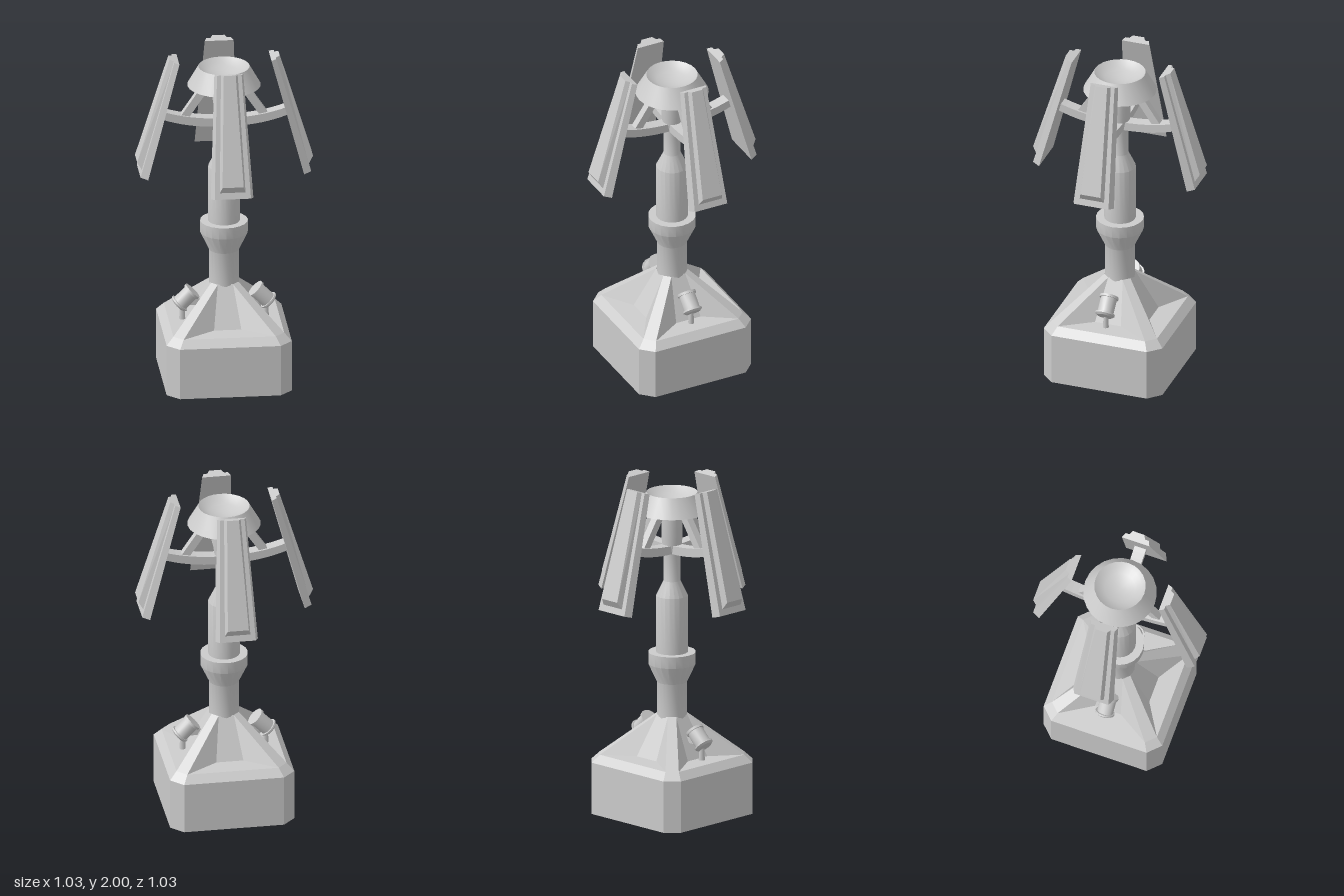
import * as THREE from 'three';
import { toCreasedNormals } from 'three/addons/utils/BufferGeometryUtils.js';

const lerp = THREE.MathUtils.lerp;
const smooth = new THREE.MeshStandardMaterial({ color: 0xcccccc, side: THREE.DoubleSide });
const flat = new THREE.MeshStandardMaterial({ color: 0xcccccc, side: THREE.DoubleSide, flatShading: true });

function part(name, geometry, material = flat) {
  const mesh = new THREE.Mesh(geometry, material);
  mesh.name = name;
  return mesh;
}

// Turned part from [radius, height] pairs
function turned(name, profile, sides = 20) {
  const geo = new THREE.LatheGeometry(profile.map(([r, y]) => new THREE.Vector2(r, y)), sides);
  return part(name, toCreasedNormals(geo, 0.45), smooth);
}

// Mesh from convex polygons
function faceted(name, polygons) {
  const pos = [];
  for (const p of polygons)
    for (let i = 1; i < p.length - 1; i++) pos.push(...p[0], ...p[i], ...p[i + 1]);
  const geo = new THREE.BufferGeometry();
  geo.setAttribute('position', new THREE.Float32BufferAttribute(pos, 3));
  geo.computeVertexNormals();
  return part(name, geo);
}

// Box whose corners are placed by rule(side -1|1, down 0|1, out 0|1)
function shapedBox(name, rule) {
  const geo = new THREE.BoxGeometry(1, 1, 1);
  const p = geo.attributes.position;
  for (let i = 0; i < p.count; i++)
    p.setXYZ(i, ...rule(Math.sign(p.getX(i)), 0.5 - p.getY(i), p.getZ(i) + 0.5));
  geo.computeVertexNormals();
  return part(name, geo);
}

// Flat bar cut from a (radius, height) outline, standing in the z-y plane
function bar(name, shape, width) {
  const geo = new THREE.ExtrudeGeometry(shape, { depth: width, bevelEnabled: false, curveSegments: 8 });
  geo.translate(0, 0, -width / 2).rotateY(-Math.PI / 2);
  return part(name, geo);
}

// One quarter of the hollow base: wall, chamfered corner, ridge and recessed roof panel
function baseSide() {
  const m = ([x, y, z]) => [-x, y, z];
  const w0 = [0.295, 0, 0.367], w1 = [0.295, 0.31, 0.367];
  const c0 = [0.367, 0, 0.295], c1 = [0.367, 0.31, 0.295];
  const rim = [0.27, 0.355, 0.325], rim2 = [0.325, 0.355, 0.27];
  const top = [0.045, 0.595, 0.08], top2 = [0.08, 0.595, 0.045];
  const inner = [0.08, 0.36, 0.21];
  return faceted('baseSide', [
    [m(w0), w0, w1, m(w1)],
    [w0, c0, c1, w1],
    [m(w1), w1, rim, m(rim)],
    [w1, c1, rim2, rim],
    [rim, rim2, top2, top],
    [m(rim), rim, inner, m(inner)],
    [m(inner), inner, top, m(top)],
    [rim, top, inner],
    [m(rim), m(inner), m(top)],
  ]);
}

// Tilted, tapering panel with a raised rib on its outer face
function panel() {
  const g = new THREE.Group();
  g.name = 'panel';
  const length = 0.727;
  const slab = (t) => lerp(0.03, 0.045, t);
  g.add(shapedBox('panelSlab', (s, t, o) => [
    s * lerp(0.085, 0.125, t) * (o ? 0.85 : 1), -t * length, o * slab(t)]));
  g.add(shapedBox('panelRib', (s, t, o) => [
    s * (o ? lerp(0.035, 0.062, t) : lerp(0.05, 0.076, t)),
    -t * (o ? 0.655 : 0.69),
    o ? lerp(0.055, 0.08, t) : slab(t) - 0.002]));
  g.position.set(0, 1.987, 0.27);
  g.rotation.x = -0.26;
  return g;
}

function supportArm() {
  const s = new THREE.Shape();
  s.moveTo(0.03, 1.57);
  s.quadraticCurveTo(0.22, 1.57, 0.375, 1.63);
  s.lineTo(0.362, 1.675);
  s.quadraticCurveTo(0.22, 1.625, 0.03, 1.62);
  return bar('supportArm', s, 0.07);
}

function brace() {
  const pts = [[0.22, 1.61], [0.265, 1.625], [0.13, 1.825], [0.075, 1.825]];
  return bar('brace', new THREE.Shape(pts.map((p) => new THREE.Vector2(...p))), 0.045);
}

// Small drum lamp lying along the roof slope, facing +z
function lamp() {
  const g = new THREE.Group();
  g.name = 'lamp';
  const body = turned('lampBody', [
    [0, -0.065], [0.045, -0.065], [0.058, -0.055], [0.058, -0.045], [0.048, -0.045],
    [0.048, 0.045], [0.056, 0.045], [0.056, 0.06], [0, 0.06]], 16);
  body.position.set(0, 0.49, 0.225);
  body.rotation.x = -Math.PI / 4;
  const peg = part('lampPeg', new THREE.CylinderGeometry(0.014, 0.018, 0.1, 8), smooth);
  peg.position.set(0, 0.41, 0.245);
  const mount = part('lampMount', new THREE.BoxGeometry(0.04, 0.04, 0.1));
  mount.position.set(0, 0.47, 0.18);
  g.add(body, peg, mount);
  return g;
}

export function createModel() {
  const root = new THREE.Group();
  root.name = 'beaconTower';

  // Base, panels and struts repeat on four sides; lamps sit on left and right
  for (let i = 0; i < 4; i++) {
    const side = new THREE.Group();
    side.name = 'side' + (i + 1);
    side.rotation.y = (i * Math.PI) / 2;
    side.add(baseSide(), panel(), supportArm(), brace());
    if (i % 2) side.add(lamp());
    root.add(side);
  }

  // Central mast with collar, shoulder and neck
  root.add(turned('mast', [
    [0.088, 0.57], [0.088, 0.79], [0.14, 0.9], [0.14, 0.97], [0.093, 0.97],
    [0.093, 1.31], [0.05, 1.4], [0.05, 1.57], [0.062, 1.66], [0.062, 1.83]]));

  // Dish with a shallow bowl on top
  root.add(turned('dish', [
    [0, 1.82], [0.215, 1.82], [0.15, 1.935], [0.125, 1.915], [0.09, 1.898], [0.045, 1.886], [0, 1.882]], 24));

  return root;
}
